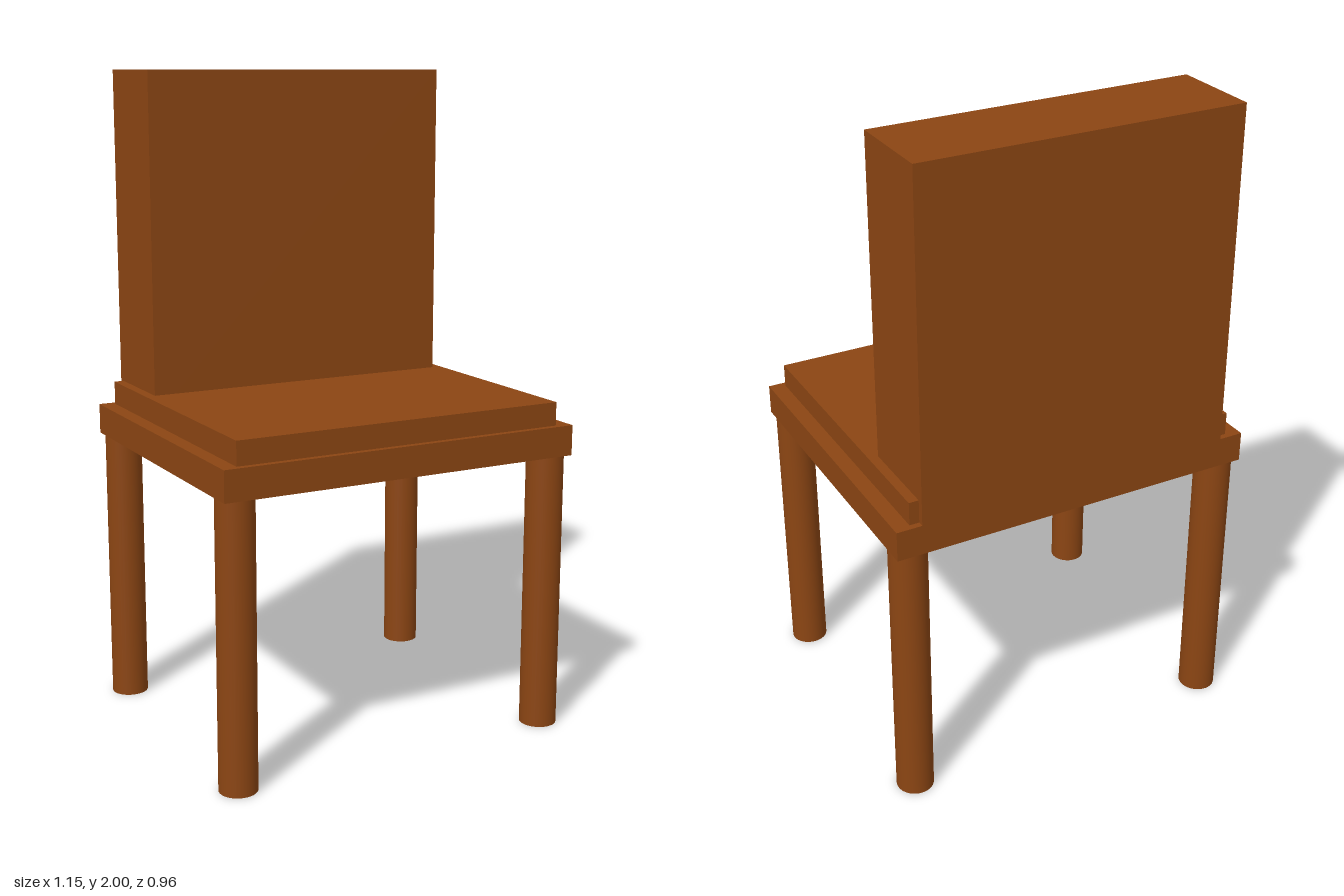
import * as THREE from 'three';

export function createModel() {
  const chair = new THREE.Group();
  chair.name = 'chair';
  const wood = new THREE.MeshStandardMaterial({ color: 0x8b4513 });
  wood.name = 'brown wood';

  // Box given by its extents on each axis
  function addBox(name, [x0, x1], [y0, y1], [z0, z1]) {
    const mesh = new THREE.Mesh(new THREE.BoxGeometry(x1 - x0, y1 - y0, z1 - z0), wood);
    mesh.position.set((x0 + x1) / 2, (y0 + y1) / 2, (z0 + z1) / 2);
    mesh.name = name;
    chair.add(mesh);
  }

  addBox('seatFrame', [-0.574, 0.574], [0.862, 0.955], [-0.479, 0.479]);
  addBox('seatPad', [-0.528, 0.526], [0.955, 1.027], [-0.46, 0.46]);
  addBox('backrest', [-0.498, 0.496], [0.955, 2], [-0.479, -0.193]);

  // Four round legs, flush with the frame corners
  const radius = 0.057, height = 0.862;
  const legGeometry = new THREE.CylinderGeometry(radius, radius, height, 32);
  for (const [zName, z] of [['front', 1], ['back', -1]]) {
    for (const [xName, x] of [['Left', 1], ['Right', -1]]) {
      const leg = new THREE.Mesh(legGeometry, wood);
      leg.position.set(x * (0.574 - radius), height / 2, z * (0.479 - radius));
      leg.name = `${zName}${xName}Leg`;
      chair.add(leg);
    }
  }
  return chair;
}
